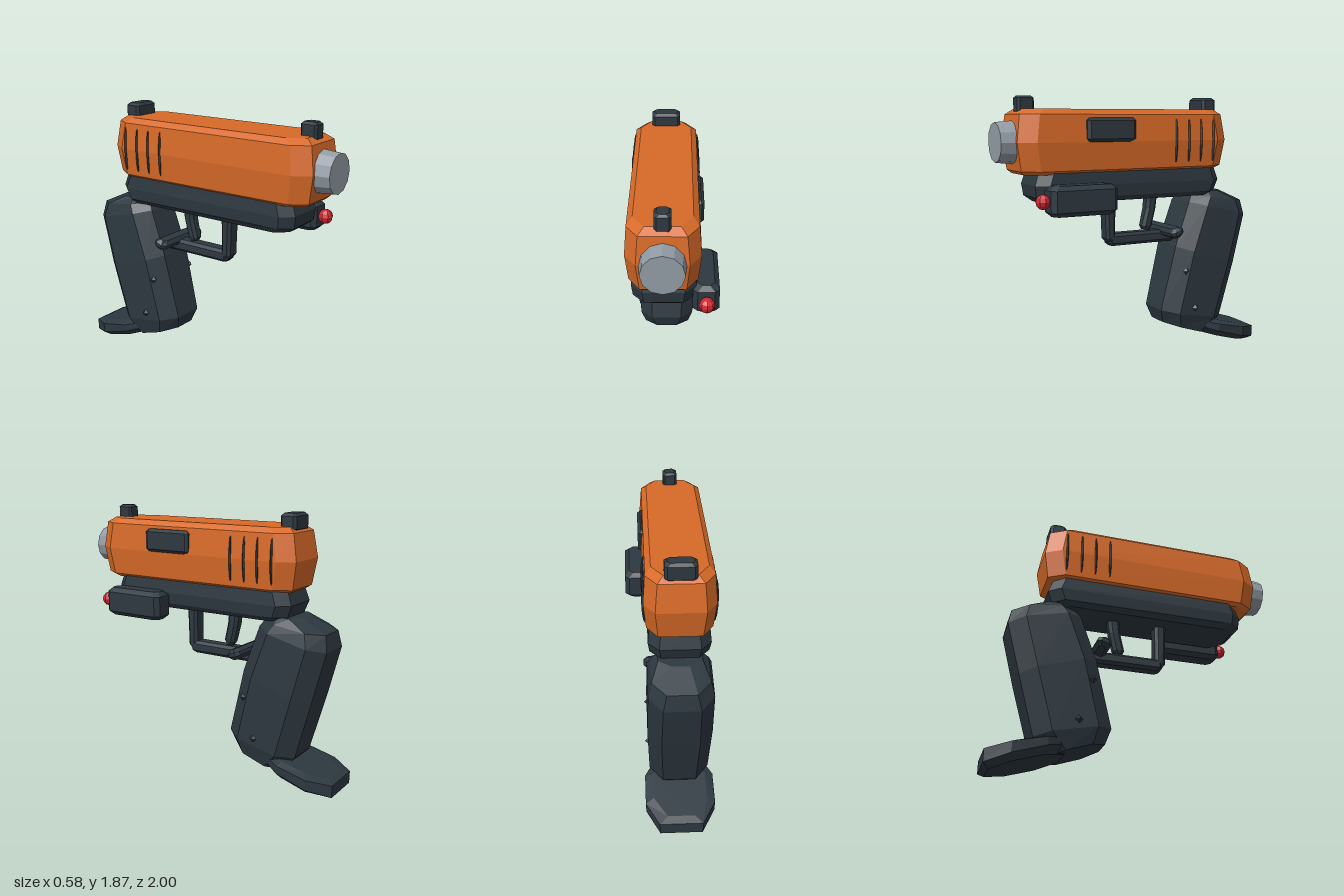
import * as THREE from 'three';

const CX = -0.053; // centre line of the main body

const mat = (name, color) => {
  const m = new THREE.MeshStandardMaterial({ color, flatShading: true });
  m.name = name;
  return m;
};

// Loft of chamfered rectangles, bottom to top.
// Each ring: [frontZ, frontY, backZ, backY, halfWidth]; cx, cz are corner chamfers.
function loft(rings, cx, cz) {
  const pos = [], idx = [], N = 8;
  for (const [zf, yf, zb, yb, w] of rings) {
    const c = Math.min(cx, w * 0.6);
    const t = Math.min(0.3, cz / Math.hypot(zf - zb, yf - yb));
    const corners = [[w, t], [w, 1 - t], [w - c, 1], [c - w, 1], [-w, 1 - t], [-w, t], [c - w, 0], [w - c, 0]];
    for (const [x, k] of corners) pos.push(x, yf + (yb - yf) * k, zf + (zb - zf) * k);
  }
  const top = (rings.length - 1) * N;
  for (let r = 0; r < rings.length - 1; r++) {
    for (let j = 0; j < N; j++) {
      const a = r * N + j, b = r * N + (j + 1) % N;
      idx.push(a, b, b + N, a, b + N, a + N);
    }
  }
  for (let j = 1; j < N - 1; j++) {
    idx.push(0, j + 1, j);
    idx.push(top, top + j, top + j + 1);
  }
  const g = new THREE.BufferGeometry();
  g.setAttribute('position', new THREE.Float32BufferAttribute(pos, 3));
  g.setIndex(idx);
  const flat = g.toNonIndexed();
  flat.computeVertexNormals();
  return flat;
}

// Box with all edges bevelled, centred on the origin
function bevelBox(w, h, d, b) {
  const ring = (y, s) => [d / 2 - s, y, -d / 2 + s, y, w / 2 - s];
  return loft([ring(-h / 2, b), ring(-h / 2 + b, 0), ring(h / 2 - b, 0), ring(h / 2, b)], b, b);
}

export function createModel() {
  const group = new THREE.Group();
  const orange = mat('orange shell', 0xd86a28);
  const dark = mat('dark polymer', 0x2d3840);
  const grey = mat('grey metal', 0x929ca5);
  const red = mat('red lens', 0xd0262f);

  const add = (name, geo, material, x = CX, y = 0, z = 0) => {
    const m = new THREE.Mesh(geo, material);
    m.name = name;
    m.position.set(x, y, z);
    group.add(m);
    return m;
  };

  // Slide
  add('slide', loft([
    [0.85, 1.362, -0.63, 1.362, 0.18],
    [0.875, 1.385, -0.665, 1.385, 0.208],
    [0.905, 1.57, -0.695, 1.57, 0.225],
    [0.88, 1.75, -0.665, 1.75, 0.211],
    [0.83, 1.785, -0.62, 1.785, 0.175],
  ], 0.07, 0.11), orange);

  // Frame under the slide
  add('frame', loft([
    [0.72, 1.17, -0.59, 1.17, 0.16],
    [0.77, 1.21, -0.625, 1.2, 0.19],
    [0.78, 1.29, -0.655, 1.28, 0.2],
    [0.75, 1.38, -0.62, 1.38, 0.19],
  ], 0.07, 0.08), dark);

  // Raked grip and its base plate
  add('grip', loft([
    [-0.22, 0.235, -0.6, 0.11, 0.17],
    [-0.187, 0.335, -0.7, 0.23, 0.202],
    [-0.3, 0.8, -0.815, 0.64, 0.214],
    [-0.415, 1.12, -0.91, 1.0, 0.208],
    [-0.45, 1.17, -0.89, 1.11, 0.185],
    [-0.5, 1.2, -0.71, 1.195, 0.14],
  ], 0.09, 0.11), dark);
  add('basePlate', loft([
    [-0.49, 0.14, -0.96, 0.002, 0.18],
    [-0.465, 0.195, -0.997, 0.03, 0.232],
    [-0.47, 0.235, -0.998, 0.115, 0.235],
    [-0.5, 0.255, -0.95, 0.14, 0.18],
  ], 0.09, 0.16), dark);

  // Trigger guard and trigger
  add('guardPost', loft([
    [0.185, 0.84, 0.145, 0.84, 0.045],
    [0.222, 0.885, 0.15, 0.9, 0.055],
    [0.232, 1.2, 0.148, 1.2, 0.058],
  ], 0.02, 0.02), dark);
  add('guardBar', bevelBox(0.11, 0.088, 0.56, 0.02), dark, CX, 0.875, -0.08);
  add('trigger', loft([
    [-0.085, 0.93, -0.135, 0.92, 0.03],
    [-0.075, 0.955, -0.155, 0.95, 0.04],
    [-0.105, 1.08, -0.185, 1.08, 0.045],
    [-0.115, 1.2, -0.2, 1.2, 0.045],
  ], 0.02, 0.02), dark);

  // Release bar crossing the front of the grip
  add('releaseBar', bevelBox(0.455, 0.075, 0.1, 0.025), dark, CX, 0.915, -0.265).rotation.x = 0.35;

  // Muzzle
  const muzzle = new THREE.CylinderGeometry(0.13, 0.141, 0.13, 12).rotateX(Math.PI / 2);
  add('muzzle', muzzle, grey, CX, 1.57, 0.935);

  // Sights
  add('frontSight', bevelBox(0.1, 0.12, 0.115, 0.015), dark, CX, 1.81, 0.798);
  add('rearSight', bevelBox(0.197, 0.12, 0.115, 0.018), dark, CX, 1.81, -0.595);

  // Ejection port on the left side
  add('ejectionPort', bevelBox(0.05, 0.16, 0.36, 0.02), dark, 0.167, 1.65, 0.27);

  // Side module with its lens
  add('sideModule', bevelBox(0.165, 0.2, 0.47, 0.03), dark, 0.207, 1.2, 0.512);
  add('lens', new THREE.SphereGeometry(0.05, 8, 6), red, 0.21, 1.2, 0.782);

  // Grooves and grip pins on both sides
  for (const side of [-1, 1]) {
    for (const z of [-0.24, -0.345, -0.445, -0.55]) {
      const groove = new THREE.SphereGeometry(1, 6, 8).scale(0.022, 0.152, 0.01);
      add('groove', groove, dark, CX + side * 0.213, 1.57, z);
    }
    for (const [y, z] of [[0.63, -0.34], [0.345, -0.425]]) {
      add('gripPin', new THREE.OctahedronGeometry(0.027), dark, CX + side * 0.204, y, z);
    }
  }
  return group;
}
